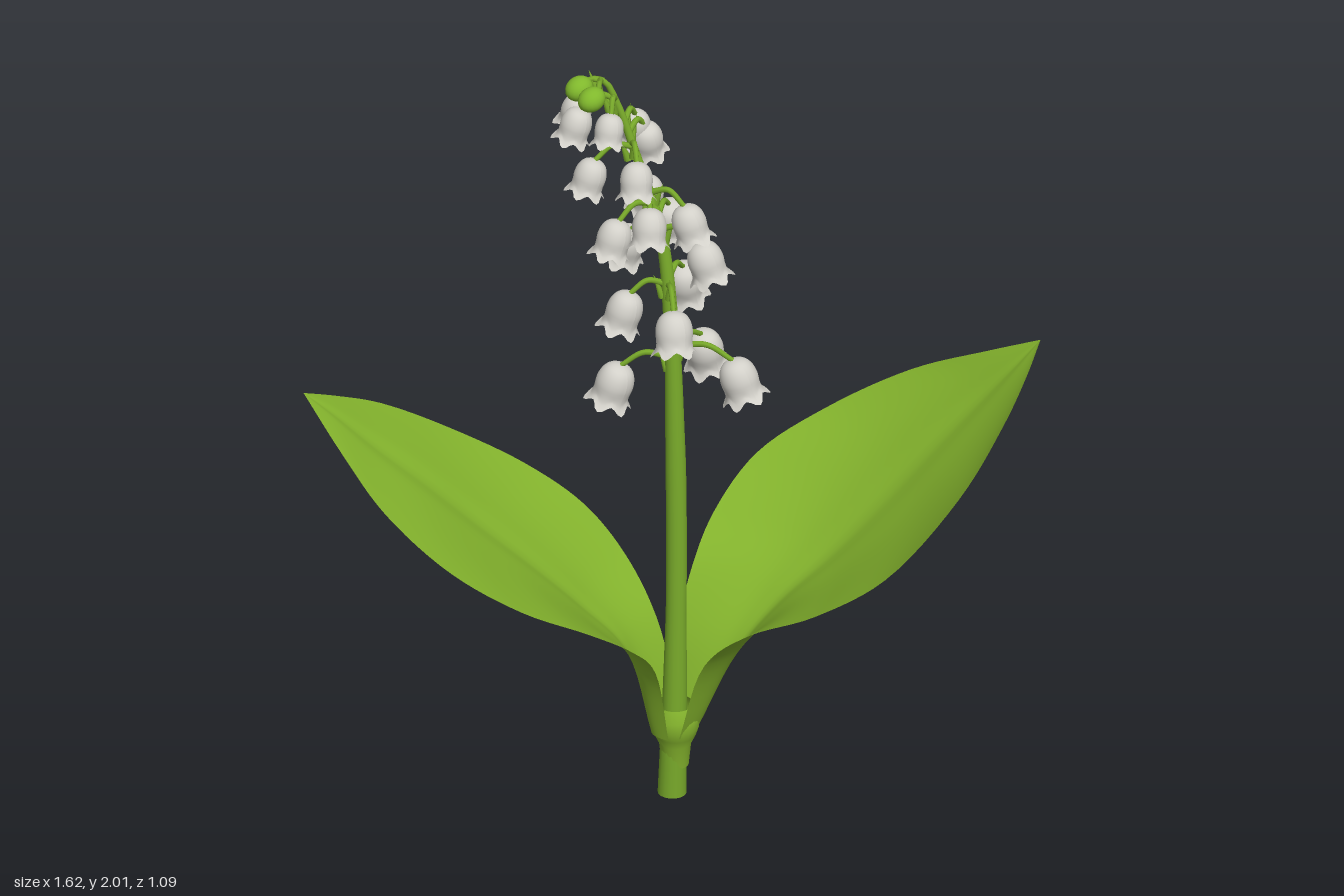
import * as THREE from 'three';
import { ParametricGeometry } from 'three/addons/geometries/ParametricGeometry.js';

const V = (a) => new THREE.Vector3(...a);
const curve = (pts) => new THREE.CatmullRomCurve3(pts.map(V));

const mat = (name, color, side = THREE.FrontSide) => {
  const m = new THREE.MeshStandardMaterial({ color, side });
  m.name = name;
  return m;
};

const mesh = (name, geo, material) => {
  const m = new THREE.Mesh(geo, material);
  m.name = name;
  return m;
};

// Tube whose radius follows radiusAt(t)
function taperedTube(path, segments, sides, radiusAt) {
  const geo = new THREE.TubeGeometry(path, segments, 1, sides);
  const p = geo.attributes.position, v = new THREE.Vector3();
  for (let i = 0; i <= segments; i++) {
    const c = path.getPointAt(i / segments), r = radiusAt(i / segments);
    for (let j = 0; j <= sides; j++) {
      const k = i * (sides + 1) + j;
      v.fromBufferAttribute(p, k).sub(c).multiplyScalar(r).add(c);
      p.setXYZ(k, v.x, v.y, v.z);
    }
  }
  return geo;
}

// Leaf blade spanned by a left edge, a midrib and a right edge
function leafGeometry(left, mid, right) {
  const L = curve(left), M = curve(mid), R = curve(right);
  const geo = new ParametricGeometry((a, t, out) => {
    const u = a * 2 - 1;
    const l = L.getPoint(t), m = M.getPoint(t), r = R.getPoint(t);
    out.set(0, 0, 0)
      .addScaledVector(l, u * (u - 1) / 2)
      .addScaledVector(m, 1 - u * u)
      .addScaledVector(r, u * (u + 1) / 2);
    // Narrow groove along the midrib
    out.y -= 0.014 * Math.sin(Math.PI * t) * Math.exp(-((u / 0.12) ** 2));
  }, 28, 48);
  geo.computeVertexNormals();
  return geo;
}

// Hanging bell with six flared lobes, centred on the origin
function bellGeometry() {
  const profile = [[0.057, -0.052], [0.047, -0.038], [0.046, -0.02], [0.048, 0.002],
    [0.044, 0.025], [0.034, 0.043], [0.018, 0.053], [0.0001, 0.056]];
  const geo = new THREE.LatheGeometry(
    new THREE.SplineCurve(profile.map(([x, y]) => new THREE.Vector2(x, y))).getPoints(16), 36);
  const p = geo.attributes.position;
  for (let i = 0; i < p.count; i++) {
    const x = p.getX(i), y = p.getY(i), z = p.getZ(i);
    const rim = THREE.MathUtils.clamp((-0.015 - y) / 0.037, 0, 1);
    const lobe = Math.cos(6 * Math.atan2(x, z));
    const s = 1 + 0.1 * lobe * rim * rim;
    p.setXYZ(i, x * s, y - 0.009 * lobe * rim, z * s);
  }
  geo.computeVertexNormals();
  return geo;
}

export function createModel() {
  const group = new THREE.Group();
  const leafGreen = mat('leafGreen', 0x82b12c, THREE.DoubleSide);
  const stemGreen = mat('stemGreen', 0x78a92a);
  const budGreen = mat('budGreen', 0x80b82c);
  const petalWhite = mat('petalWhite', 0xd2d0c9, THREE.DoubleSide);

  // Main stem, arching over at the top
  const stemPath = curve([[-0.092, 0, 0.036], [-0.083, 0.3, 0.036], [-0.07, 0.7, 0.025],
    [-0.065, 1.0, 0.012], [-0.062, 1.3, -0.008], [-0.07, 1.55, -0.04], [-0.105, 1.75, -0.09],
    [-0.14, 1.9, -0.125], [-0.17, 1.972, -0.14], [-0.2, 1.985, -0.147]]);
  group.add(mesh('stem', taperedTube(stemPath, 80, 16, (t) =>
    0.026 - 0.019 * Math.max(0, (t - 0.45) / 0.55) + 0.01 * Math.max(0, 1 - t / 0.25)), stemGreen));
  const foot = mesh('stemFoot', new THREE.CircleGeometry(0.036, 16), stemGreen);
  foot.rotation.x = Math.PI / 2;
  foot.position.set(-0.092, 0.001, 0.036);
  group.add(foot);

  // Collar where the leaves clasp the stem
  const collar = mesh('collar', new THREE.LatheGeometry(
    [[0.034, 0.08], [0.04, 0.14], [0.052, 0.165], [0.06, 0.19], [0.06, 0.22], [0.045, 0.25]]
      .map(([x, y]) => new THREE.Vector2(x, y)), 24), leafGreen);
  collar.position.set(-0.083, 0, 0.037);
  group.add(collar);

  // Two broad leaves
  group.add(mesh('leftLeaf', leafGeometry(
    [[-0.11, 0.18, 0.09], [-0.09, 0.42, 0.17], [-0.05, 0.55, 0.3], [0.05, 0.635, 0.44], [0.2, 0.73, 0.53],
      [0.42, 0.89, 0.54], [0.6, 1.01, 0.48], [0.73, 1.08, 0.405], [0.81, 1.13, 0.352]],
    [[-0.025, 0.18, 0.055], [0.08, 0.37, 0.075], [0.19, 0.49, 0.1], [0.32, 0.6, 0.14], [0.45, 0.73, 0.185],
      [0.57, 0.86, 0.23], [0.68, 0.98, 0.28], [0.755, 1.07, 0.325], [0.81, 1.13, 0.352]],
    [[-0.05, 0.18, -0.02], [-0.02, 0.4, -0.04], [0.05, 0.54, -0.075], [0.16, 0.64, -0.13], [0.31, 0.745, -0.155],
      [0.48, 0.84, -0.1], [0.64, 0.96, 0.04], [0.745, 1.06, 0.22], [0.81, 1.13, 0.352]]), leafGreen));
  group.add(mesh('rightLeaf', leafGeometry(
    [[-0.03, 0.18, -0.01], [-0.04, 0.42, -0.1], [-0.05, 0.55, -0.22], [-0.1, 0.66, -0.32], [-0.2, 0.76, -0.42],
      [-0.37, 0.88, -0.51], [-0.56, 1.0, -0.545], [-0.7, 1.07, -0.54], [-0.81, 1.12, -0.53]],
    [[-0.135, 0.18, 0.01], [-0.17, 0.4, -0.05], [-0.26, 0.53, -0.12], [-0.36, 0.65, -0.195], [-0.46, 0.76, -0.27],
      [-0.57, 0.88, -0.35], [-0.67, 0.98, -0.425], [-0.75, 1.065, -0.485], [-0.81, 1.12, -0.53]],
    [[-0.135, 0.18, 0.08], [-0.19, 0.4, 0.1], [-0.3, 0.52, 0.15], [-0.44, 0.62, 0.155], [-0.6, 0.71, 0.1],
      [-0.73, 0.81, -0.02], [-0.8, 0.92, -0.2], [-0.81, 1.02, -0.37], [-0.81, 1.12, -0.53]]), leafGreen));

  // Stem centre at a given height
  const samples = stemPath.getSpacedPoints(200);
  const stemAt = (y) => samples.reduce((a, b) => (Math.abs(b.y - y) < Math.abs(a.y - y) ? b : a));

  // Thin arching stalk from the stem to a flower, with a small bract at its root
  const addStalk = (end, up, h) => {
    const start = stemAt(Math.min(end.y + up, 1.98));
    const peak = start.clone().lerp(end, 0.55);
    peak.y = Math.max(start.y, end.y) + h;
    const path = new THREE.CatmullRomCurve3([start, peak, end]);
    group.add(mesh('flowerStalk', taperedTube(path, 14, 7, (t) => 0.0085 - 0.002 * t), stemGreen));
    const out = end.clone().sub(start).setY(0).normalize();
    const bract = mesh('bract', new THREE.ConeGeometry(0.011, 0.07, 7), stemGreen);
    bract.position.copy(start).addScaledVector(out, 0.026);
    bract.quaternion.setFromUnitVectors(new THREE.Vector3(0, 1, 0), out.clone().multiplyScalar(0.35).setY(1).normalize());
    group.add(bract);
  };

  // Bell flowers: centre x, y, z and size
  const bells = [
    [0.05, 1.17, 0.125, 1], [0.075, 1.165, -0.055, 1], [-0.18, 1.14, -0.085, 1],
    [0.04, 1.355, -0.09, 0.98], [-0.125, 1.345, 0.09, 0.98], [-0.165, 1.35, -0.065, 0.95],
    [-0.005, 1.495, 0.06, 0.95], [0.015, 1.53, -0.12, 0.95], [-0.105, 1.49, -0.135, 0.92],
    [-0.2, 1.57, -0.06, 0.9], [-0.15, 1.62, 0.02, 0.9], [-0.03, 1.595, 0.025, 0.9], [-0.04, 1.61, -0.14, 0.88],
    [-0.16, 1.74, -0.02, 0.85], [-0.23, 1.73, -0.12, 0.85], [-0.06, 1.8, -0.16, 0.8], [-0.04, 1.765, -0.14, 0.85],
    [-0.24, 1.86, -0.165, 0.82], [-0.2, 1.87, -0.08, 0.75], [-0.165, 1.83, -0.265, 0.8],
  ];
  const bellGeo = bellGeometry();
  const pistilGeo = new THREE.CapsuleGeometry(0.009, 0.05, 4, 8);
  bells.forEach(([x, y, z, s]) => {
    const centre = new THREE.Vector3(x, y, z);
    const out = centre.clone().sub(stemAt(y)).setY(0).normalize();
    const axis = out.multiplyScalar(-0.32).setY(1).normalize();
    const flower = new THREE.Group();
    flower.name = 'bellFlower';
    flower.add(mesh('bell', bellGeo, petalWhite), mesh('pistil', pistilGeo, petalWhite));
    flower.position.copy(centre);
    flower.scale.setScalar(s);
    flower.quaternion.setFromUnitVectors(new THREE.Vector3(0, 1, 0), axis);
    group.add(flower);
    addStalk(centre.clone().addScaledVector(axis, 0.054 * s), 0.015, 0.018);
  });

  // Closed buds at the tip
  [[-0.245, 1.967, -0.092], [-0.23, 1.96, -0.165]].forEach(([x, y, z]) => {
    const bud = mesh('bud', new THREE.SphereGeometry(0.032, 18, 12), budGreen);
    bud.scale.set(1.15, 0.95, 1);
    bud.rotation.z = 0.3;
    bud.position.set(x, y, z);
    group.add(bud);
    addStalk(new THREE.Vector3(x + 0.02, y + 0.015, z), 0, 0.006);
  });

  return group;
}
